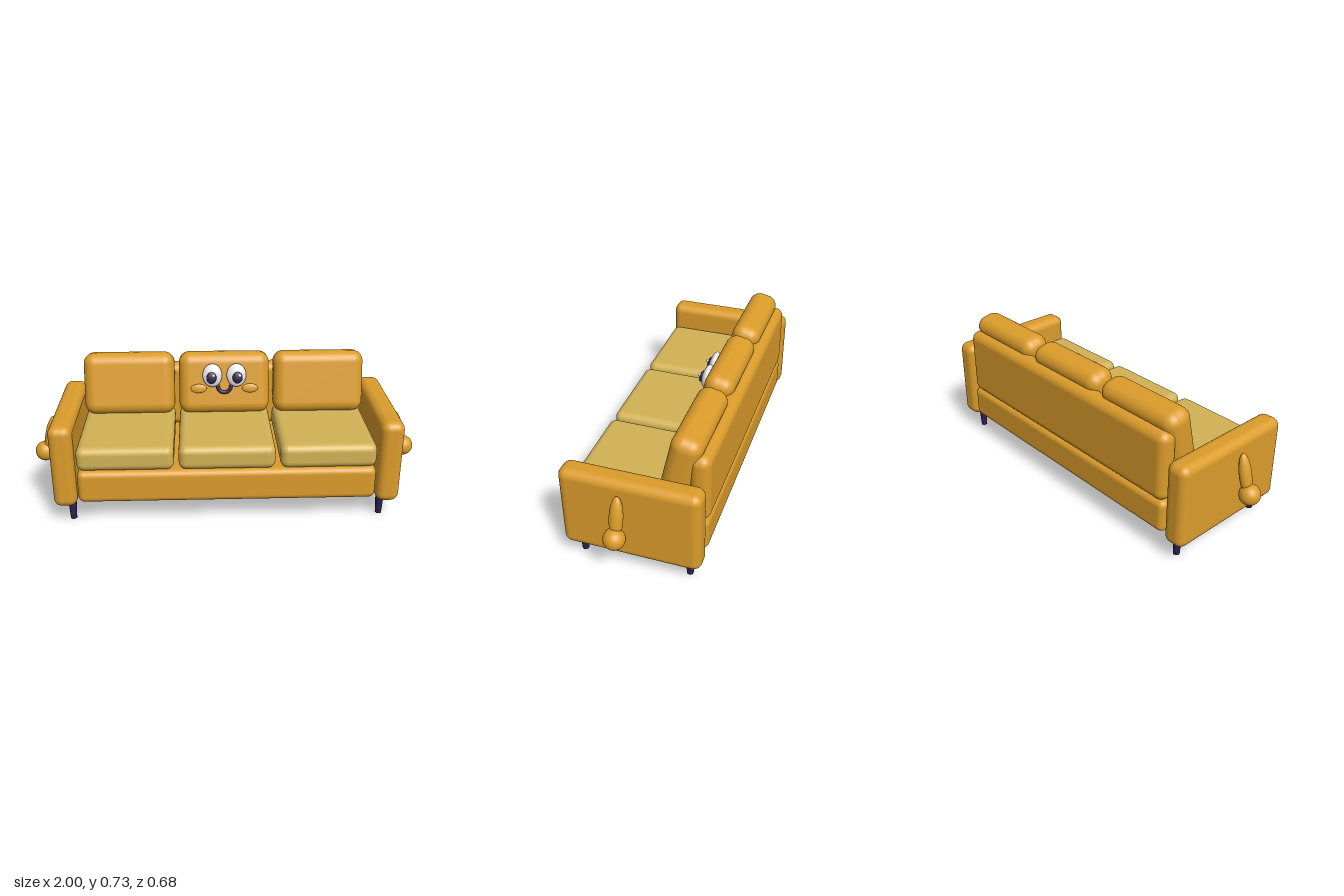
import * as THREE from 'three';
import { RoundedBoxGeometry } from 'three/addons/geometries/RoundedBoxGeometry.js';

const mat = (name, color) => {
  const m = new THREE.MeshStandardMaterial({ color });
  m.name = name;
  return m;
};

export function createModel() {
  const sofa = new THREE.Group();
  sofa.name = 'sofa';
  const mustard = mat('mustard fabric', 0xdb9c2b);
  const straw = mat('straw fabric', 0xd2b256);
  const purple = mat('dark purple', 0x2c2050);
  const white = mat('eye white', 0xececec);

  const add = (parent, name, geometry, material, x, y, z) => {
    const mesh = new THREE.Mesh(geometry, material);
    mesh.name = name;
    mesh.position.set(x, y, z);
    parent.add(mesh);
    return mesh;
  };
  // Rounded block given by its limits on y and z, centred on x
  const block = (name, material, x, w, y0, y1, z0, z1, r) =>
    add(sofa, name, new RoundedBoxGeometry(w, y1 - y0, z1 - z0, 6, r), material, x, (y0 + y1) / 2, (z0 + z1) / 2);
  const ellipsoid = (parent, name, material, rx, ry, rz, x, y, z) =>
    add(parent, name, new THREE.SphereGeometry(1, 32, 20).scale(rx, ry, rz), material, x, y, z);

  // Frame
  block('base', mustard, 0, 1.5, 0.118, 0.291, -0.335, 0.335, 0.032);
  block('backrest', mustard, 0, 1.49, 0.285, 0.643, -0.338, -0.238, 0.045);

  // Three seat cushions with leaning back cushions
  const lean = -0.22;
  for (const x of [-0.508, 0, 0.508]) {
    block('seatCushion', straw, x, 0.484, 0.288, 0.413, -0.24, 0.325, 0.038);
    add(sofa, 'backCushion', new RoundedBoxGeometry(0.484, 0.33, 0.15, 8, 0.058), mustard, x, 0.559, -0.198)
      .rotation.x = lean;
  }

  // Armrests, legs and little arms with round hands
  for (const s of [-1, 1]) {
    block('armrest', mustard, s * 0.816, 0.118, 0.094, 0.532, -0.338, 0.338, 0.042);
    for (const z of [-0.267, 0.267]) {
      add(sofa, 'leg', new THREE.CylinderGeometry(0.022, 0.016, 0.12, 20), purple, s * 0.79, 0.06, z);
    }
    ellipsoid(sofa, 'arm', mustard, 0.028, 0.108, 0.033, s * 0.913, 0.367, 0.038).rotation.z = s * 0.23;
    ellipsoid(sofa, 'hand', mustard, 0.052, 0.052, 0.052, s * 0.948, 0.274, 0.038);
  }

  // Face, leaning with the middle back cushion
  const face = new THREE.Group();
  face.name = 'face';
  face.position.set(0, 0.559, -0.121);
  face.rotation.x = lean;
  sofa.add(face);
  for (const s of [-1, 1]) {
    ellipsoid(face, 'eye', white, 0.052, 0.062, 0.024, s * 0.064, 0.064, 0.014);
    ellipsoid(face, 'pupil', purple, 0.027, 0.031, 0.011, s * 0.069, 0.053, 0.038);
    ellipsoid(face, 'eyeGlint', white, 0.009, 0.009, 0.007, s * 0.069 + 0.011, 0.066, 0.05);
    ellipsoid(face, 'cheek', mustard, 0.043, 0.024, 0.009, s * 0.137, -0.008, 0.003);
  }
  add(face, 'smile', new THREE.TorusGeometry(0.035, 0.01, 12, 28, Math.PI), purple, 0, 0.005, 0.003)
    .rotation.z = Math.PI;
  for (const s of [-1, 1]) ellipsoid(face, 'smileEnd', purple, 0.01, 0.01, 0.01, s * 0.035, 0.005, 0.003);

  return sofa;
}
